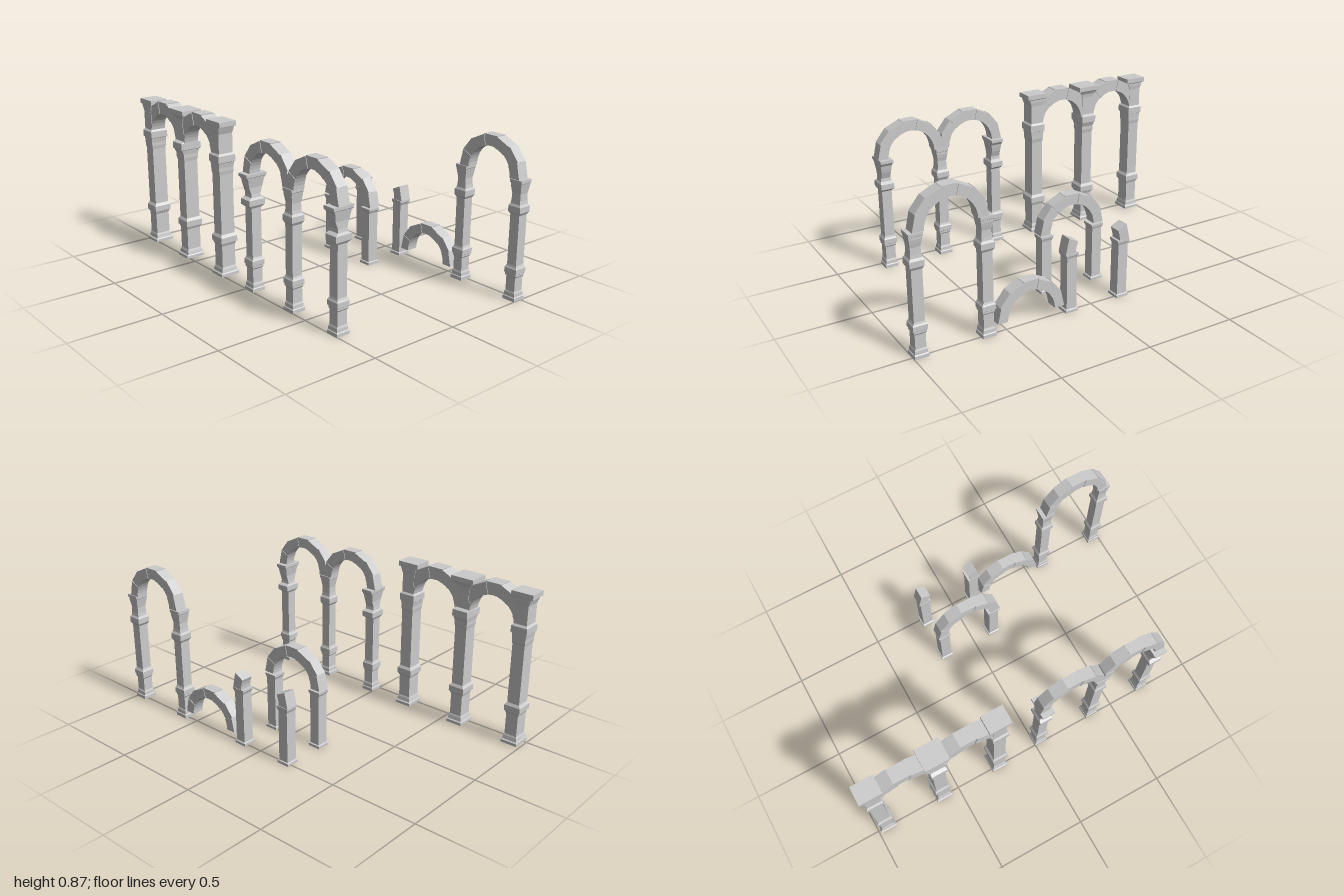
import * as THREE from 'three';

const stone = new THREE.MeshStandardMaterial({ color: 0xcccccc, flatShading: true });

// Square pillar from rings of [height, half width in x, half width in z]
function pillar(name, rings, x, z) {
  const all = [[rings[0][0], 0, 0], ...rings, [rings[rings.length - 1][0], 0, 0]];
  const pts = all.map(([y, , hz]) => new THREE.Vector2(hz * Math.SQRT2, y));
  const geo = new THREE.LatheGeometry(pts, 4, Math.PI / 4);
  const pos = geo.attributes.position;
  for (let i = 0; i < pos.count; i++) {
    const [, hx, hz] = all[i % all.length];
    if (hz) pos.setX(i, pos.getX(i) * hx / hz);
  }
  const mesh = new THREE.Mesh(geo, stone);
  mesh.name = name;
  mesh.position.set(x, 0, z);
  return mesh;
}

// One wedge-shaped arch stone between two angles, in the z/y plane
const BLOCKS = 7, STEP = Math.PI / BLOCKS;
function archStone(i, inner, outer, half) {
  const proud = i % 2 === 0;
  const a = i * STEP, R = outer + (proud ? 0 : 0.003), d = proud ? half + 0.003 : half;
  const s = new THREE.Shape();
  s.moveTo(Math.cos(a) * R, Math.sin(a) * R);
  s.lineTo(Math.cos(a + STEP) * R, Math.sin(a + STEP) * R);
  for (let k = 3; k >= 0; k--) {
    const t = a + STEP * k / 3;
    s.lineTo(Math.cos(t) * inner, Math.sin(t) * inner);
  }
  const geo = new THREE.ExtrudeGeometry(s, { depth: 2 * d, bevelEnabled: false });
  geo.translate(0, 0, -d);
  geo.rotateY(-Math.PI / 2);
  const mesh = new THREE.Mesh(geo, stone);
  mesh.name = 'archStone';
  return mesh;
}

function arch(name, x, y, z, { inner = 0.135, outer = 0.194, half = 0.03, stones = [0, 1, 2, 3, 4, 5, 6] } = {}) {
  const g = new THREE.Group();
  g.name = name;
  for (const i of stones) g.add(archStone(i, inner, outer, half));
  g.position.set(x, y, z);
  return g;
}

// Banded column; capX widens the neck and capital across the arcade
function bandedRings(capX = 0.038, bandX = 0.037) {
  const neck = 0.027 + (capX - 0.038) * 0.6;
  return [
    [0, 0.038, 0.037], [0.018, 0.038, 0.037], [0.022, 0.034, 0.033], [0.04, 0.033, 0.032], [0.05, 0.029, 0.028],
    [0.125, 0.029, 0.028], [0.132, 0.033, 0.033], [0.143, 0.033, 0.033], [0.146, 0.037, 0.037],
    [0.172, 0.037, 0.037], [0.18, 0.032, 0.032], [0.19, 0.029, 0.028],
    [0.455, 0.029, 0.028], [0.47, bandX, 0.037], [0.5, bandX, 0.037], [0.512, 0.03, 0.03],
    [0.53, 0.028, 0.027], [0.565, neck, 0.026], [0.585, neck + 0.004, 0.029], [0.605, neck + 0.007, 0.032],
    [0.618, capX - 0.004, 0.034], [0.621, capX, 0.036], [0.637, capX, 0.036],
  ];
}

// Plain short column
const plainRings = [
  [0, 0.037, 0.036], [0.014, 0.037, 0.036], [0.018, 0.031, 0.029], [0.3, 0.031, 0.029],
  [0.312, 0.034, 0.034], [0.315, 0.036, 0.036], [0.327, 0.036, 0.036],
];

// Tall pier with capital, upper post and top slab
function pierRings(capX, slabX, slabZ) {
  return [
    [0.005, 0.055, 0.047], [0.02, 0.055, 0.047], [0.026, 0.048, 0.043], [0.045, 0.045, 0.039], [0.055, 0.041, 0.035],
    [0.175, 0.041, 0.035], [0.19, 0.046, 0.041], [0.193, 0.05, 0.046], [0.225, 0.05, 0.046], [0.24, 0.041, 0.035],
    [0.57, 0.041, 0.035], [0.59, 0.045, 0.038], [0.61, 0.045, 0.038], [0.635, capX - 0.006, 0.042],
    [0.638, capX, 0.046], [0.675, capX, 0.046], [0.685, 0.043, 0.037],
    [0.79, 0.043, 0.037], [0.81, 0.046, 0.044], [0.828, slabX - 0.004, slabZ - 0.012],
    [0.832, slabX, slabZ], [0.858, slabX, slabZ],
  ];
}

export function createModel() {
  const root = new THREE.Group();
  root.name = 'archwayRuins';
  const group = (name, ...parts) => {
    const g = new THREE.Group();
    g.name = name;
    g.add(...parts);
    root.add(g);
  };

  // Tall double arcade
  const L = -0.466;
  const big = { inner: 0.135, outer: 0.204, half: 0.04 };
  group('tallArcade',
    pillar('endPier', pierRings(0.052, 0.051, 0.062), L, -0.24),
    pillar('middlePier', pierRings(0.061, 0.06, 0.067), L, -0.592),
    pillar('endPier', pierRings(0.052, 0.051, 0.062), L, -0.94),
    arch('tallArch', L, 0.665, -0.412, big),
    arch('tallArch', L, 0.665, -0.77, big));

  // Lighter double arcade
  group('lightArcade',
    pillar('endColumn', bandedRings(0.06, 0.048), L, 0.034),
    pillar('middleColumn', bandedRings(), L, 0.37),
    pillar('endColumn', bandedRings(0.06, 0.048), L, 0.706),
    arch('lightArch', L, 0.637, 0.19),
    arch('lightArch', L, 0.637, 0.55));

  // Single banded archway
  const R = 0.487;
  group('singleArchway',
    pillar('column', bandedRings(), R, 0.604),
    pillar('column', bandedRings(), R, 0.963),
    arch('singleArch', R, 0.637, 0.784));

  // Low plain archway
  group('lowArchway',
    pillar('shortColumn', plainRings, 0.25, 0.13),
    pillar('shortColumn', plainRings, 0.25, -0.183),
    arch('lowArch', 0.25, 0.335, -0.025));

  // Broken archway: columns still carry their first arch stones
  group('brokenArchway',
    pillar('brokenColumn', plainRings, R, 0.13),
    pillar('brokenColumn', plainRings, R, -0.183),
    arch('springerStones', R, 0.327, -0.025, { stones: [0, 6] }));

  // Fallen arch lying on its feet
  group('fallenArch', arch('fallenArchRing', R, 0.052, 0.366, { outer: 0.19 }));

  return root;
}
